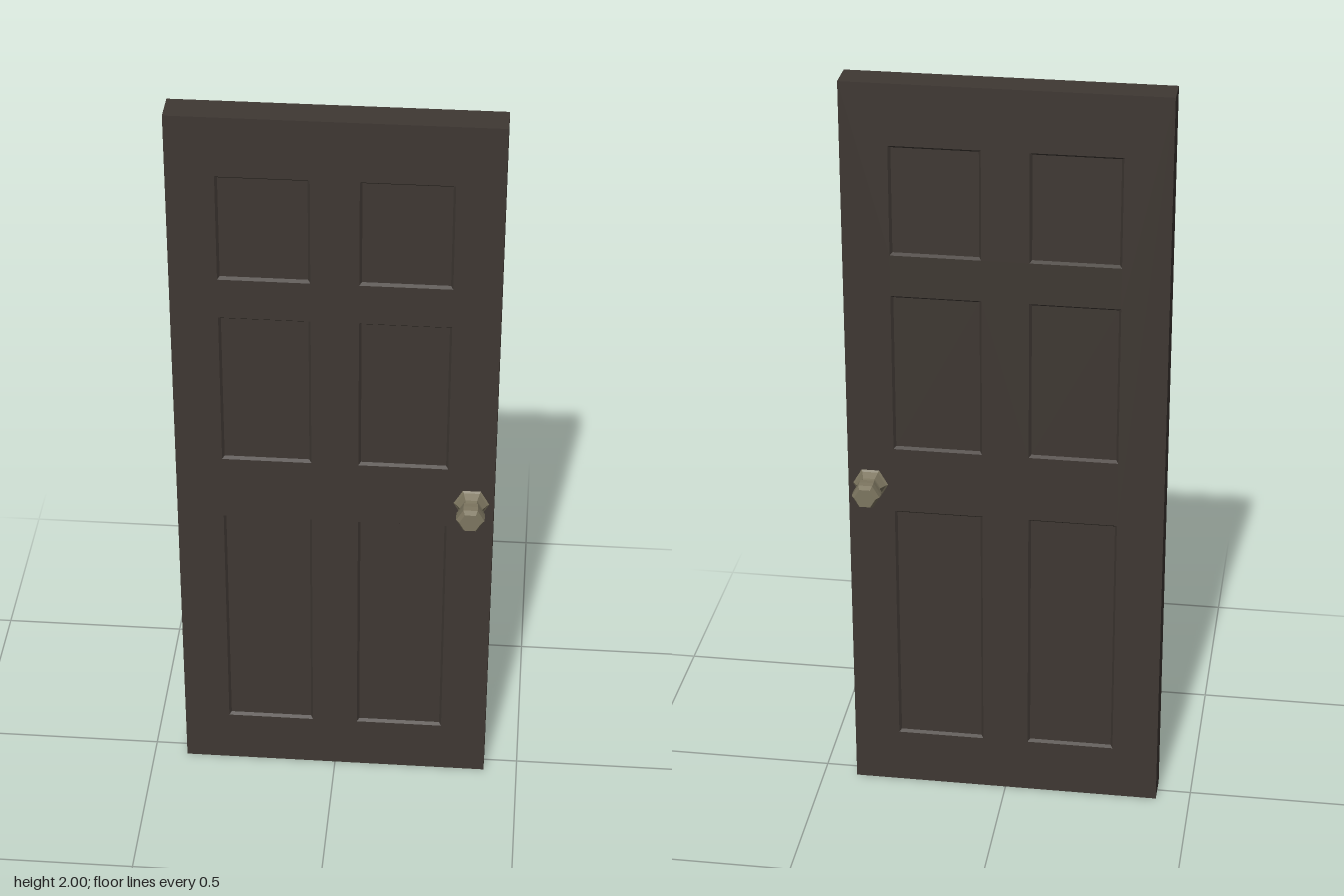
import * as THREE from 'three';
import { mergeGeometries } from 'three/addons/utils/BufferGeometryUtils.js';

const W = 0.41, H = 2, T = 0.042;   // half width, height, half thickness
const DEPTH = 0.008, BEVEL = 0.006; // panel recess

// Rectangle corners, counter-clockwise seen from +z
const rect = (x0, y0, x1, y1, z) =>
  [[x0, y0, z], [x1, y0, z], [x1, y1, z], [x0, y1, z]];

function quads(list) {
  const pos = [];
  for (const [a, b, c, d] of list) pos.push(...a, ...b, ...c, ...a, ...c, ...d);
  const g = new THREE.BufferGeometry();
  g.setAttribute('position', new THREE.Float32BufferAttribute(pos, 3));
  g.computeVertexNormals();
  return g;
}

// Wall of four quads between two rectangles
const wall = (outer, inner) => outer.map((p, i) => {
  const j = (i + 1) % 4;
  return [p, outer[j], inner[j], inner[i]];
});

export function createModel() {
  const group = new THREE.Group();
  const wood = new THREE.MeshStandardMaterial({ color: 0x3f3833 });
  const brass = new THREE.MeshStandardMaterial({ color: 0x7d7660, flatShading: true });

  // Two columns by three rows of panels
  const panels = [];
  for (const [x0, x1] of [[-0.29, -0.06], [0.06, 0.29]])
    for (const [y0, y1] of [[0.15, 0.83], [1.01, 1.44], [1.55, 1.84]])
      panels.push([x0, y0, x1, y1]);

  // Door face: flat frame with openings, sloped recess walls and panel floors
  const toPoints = (r) => r.map(([x, y]) => new THREE.Vector2(x, y));
  const shape = new THREE.Shape(toPoints(rect(-W, 0, W, H, 0)));
  const recess = [];
  for (const [x0, y0, x1, y1] of panels) {
    const rim = rect(x0, y0, x1, y1, T);
    const floor = rect(x0 + BEVEL, y0 + BEVEL, x1 - BEVEL, y1 - BEVEL, T - DEPTH);
    shape.holes.push(new THREE.Path(toPoints(rim).reverse()));
    recess.push(...wall(rim, floor), floor);
  }
  const frame = new THREE.ShapeGeometry(shape).toNonIndexed().translate(0, 0, T);
  frame.deleteAttribute('uv');
  const faceGeo = mergeGeometries([frame, quads(recess)]);

  // Hexagonal knob with flared base, neck and rounded grip
  const profile = [[0.046, 0.042], [0.041, 0.046], [0.030, 0.064], [0.028, 0.075],
    [0.036, 0.083], [0.037, 0.098], [0.036, 0.114], [0.028, 0.126], [0, 0.126]]
    .map(([r, z]) => new THREE.Vector2(r, z));
  const knobGeo = new THREE.LatheGeometry(profile, 6, Math.PI / 2).rotateX(Math.PI / 2);

  // Front and back sides
  for (const [side, angle, sign] of [['front', 0, 1], ['back', Math.PI, -1]]) {
    const face = new THREE.Mesh(faceGeo, wood);
    face.name = side + 'DoorFace';
    face.rotation.y = angle;
    const knob = new THREE.Mesh(knobGeo, brass);
    knob.name = side + 'Knob';
    knob.position.set(0.352 * sign, 0.905, 0);
    const pivot = new THREE.Group();
    pivot.name = side + 'KnobMount';
    pivot.rotation.y = angle;
    pivot.add(knob);
    group.add(face, pivot);
  }

  // Outer edges of the slab
  const edges = new THREE.Mesh(
    quads(wall(rect(-W, 0, W, H, -T), rect(-W, 0, W, H, T))), wood);
  edges.name = 'doorEdges';
  group.add(edges);
  return group;
}
